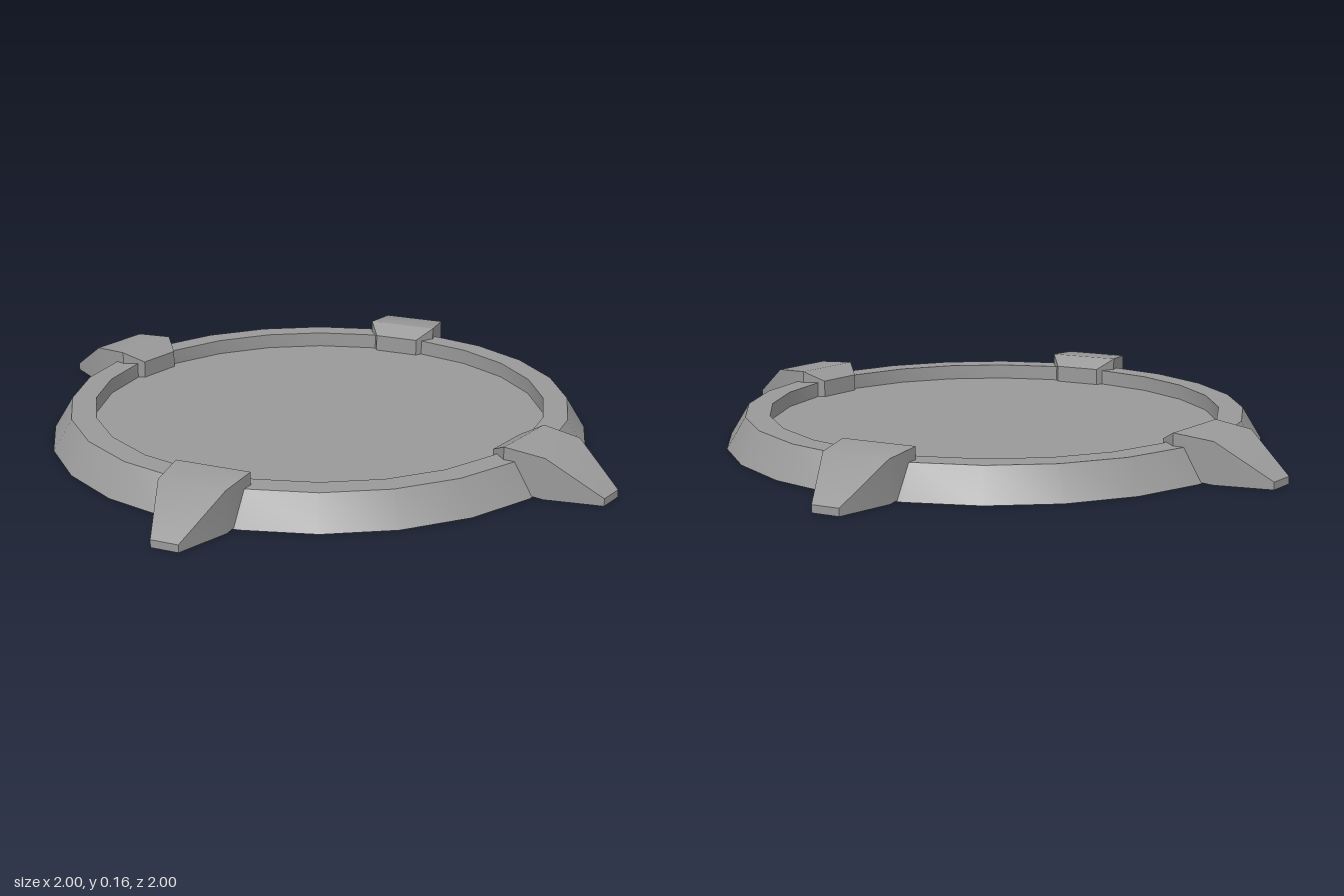
import * as THREE from 'three';
import { toCreasedNormals } from 'three/addons/utils/BufferGeometryUtils.js';

const stone = new THREE.MeshStandardMaterial({ color: 0x999999 });
stone.name = 'grey';

// Claw cross-sections: distance from centre, half width, bottom, top
const CLAW = [
  [0.81, 0.088, 0.03, 0.122],
  [0.88, 0.137, 0.01, 0.16],
  [1.03, 0.122, 0, 0.149],
  [1.22, 0.05, 0, 0.027],
];

// Joins rectangular cross-sections along +z into a closed solid
function loft(sections) {
  const rings = sections.map(([r, w, b, t]) => [[-w, b, r], [w, b, r], [w, t, r], [-w, t, r]]);
  const pos = [];
  const quad = (a, b, c, d) => pos.push(...a, ...b, ...c, ...a, ...c, ...d);
  for (let i = 0; i < rings.length - 1; i++) {
    for (let j = 0; j < 4; j++) {
      const k = (j + 1) % 4;
      quad(rings[i][j], rings[i][k], rings[i + 1][k], rings[i + 1][j]);
    }
  }
  const [first, last] = [rings[0], rings[rings.length - 1]];
  quad(first[3], first[2], first[1], first[0]);
  quad(...last);
  const geometry = new THREE.BufferGeometry();
  geometry.setAttribute('position', new THREE.Float32BufferAttribute(pos, 3));
  return toCreasedNormals(geometry, 0.5);
}

export function createModel() {
  const model = new THREE.Group();
  model.name = 'roundPlatform';

  // Shallow dish: sloped outer wall, flat rim, sunken floor
  const profile = [[0, 0], [1, 0], [0.93, 0.115], [0.84, 0.115], [0.84, 0.058], [0, 0.058]]
    .map(([r, y]) => new THREE.Vector2(r, y));
  const dish = new THREE.Mesh(toCreasedNormals(new THREE.LatheGeometry(profile, 24), 0.5), stone);
  dish.name = 'dish';
  model.add(dish);

  // Four claws gripping the rim
  const clawGeometry = loft(CLAW);
  const turn = THREE.MathUtils.degToRad(38.3);
  [turn, -turn, Math.PI - turn, Math.PI + turn].forEach((angle, i) => {
    const claw = new THREE.Mesh(clawGeometry, stone);
    claw.name = ['frontLeftClaw', 'frontRightClaw', 'backLeftClaw', 'backRightClaw'][i];
    claw.rotation.y = angle;
    model.add(claw);
  });

  return model;
}
